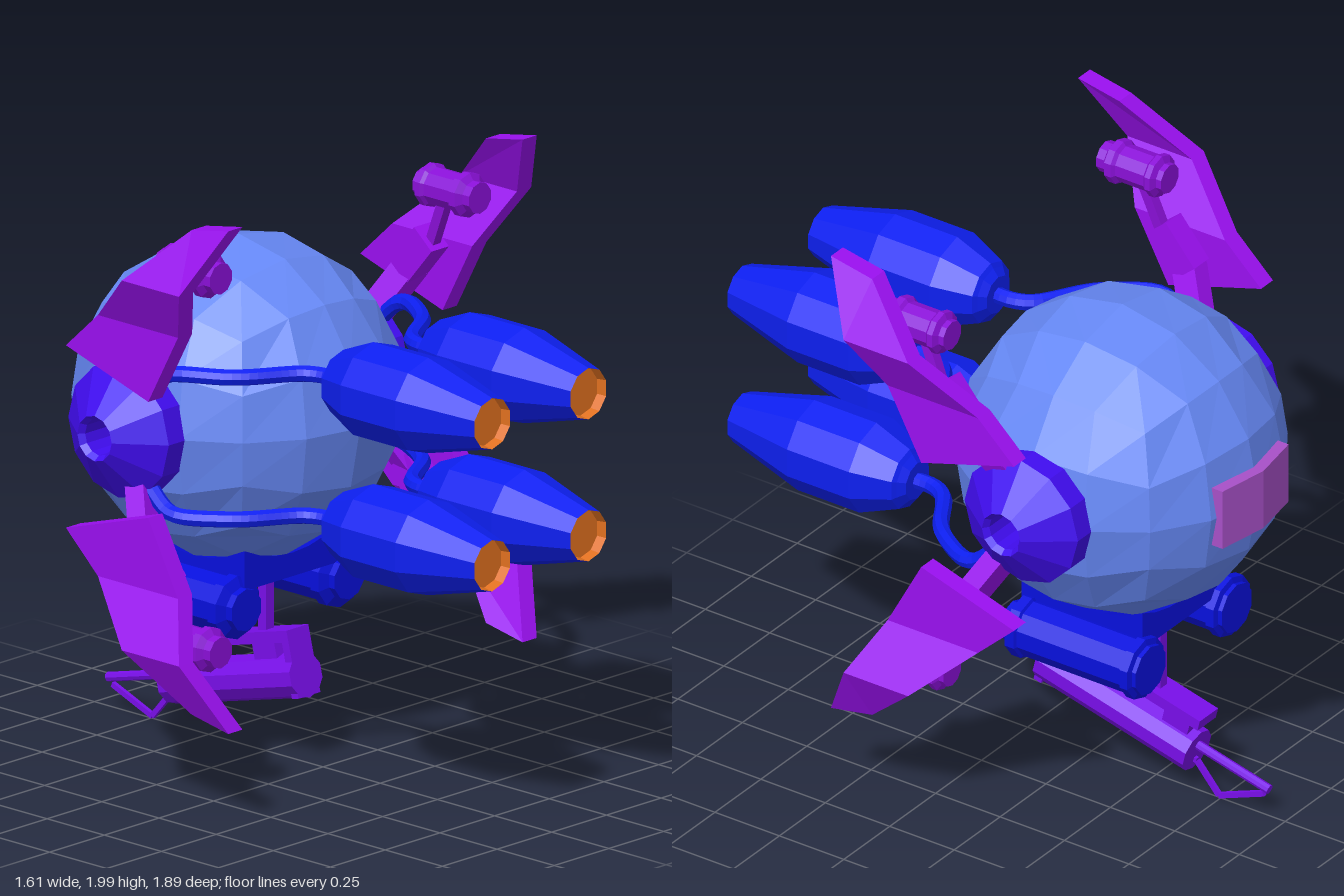
import * as THREE from 'three';

const mat = (color, side = THREE.FrontSide) =>
  new THREE.MeshStandardMaterial({ color, flatShading: true, side });
const V = (x, y, z) => new THREE.Vector3(x, y, z);

const CY = 1.168, CZ = -0.368, R = 0.53; // body centre and radius

export function createModel() {
  const root = new THREE.Group();
  const skyBlue = mat(0x6688f5), blue = mat(0x0d1ff0), navy = mat(0x0810dd), violetBlue = mat(0x400cf0);
  const purple = mat(0x9a10f0), plum = mat(0x8a10d8), gunPurple = mat(0x780ee8);
  const orange = mat(0xe07020, THREE.DoubleSide), pink = mat(0xa850c8);

  const add = (name, geo, material, parent = root) => {
    const mesh = new THREE.Mesh(geo, material);
    mesh.name = name;
    parent.add(mesh);
    return mesh;
  };
  const lathe = (pts, sides) =>
    new THREE.LatheGeometry(pts.map(([r, y]) => new THREE.Vector2(r, y)), sides);
  const latheZ = (pts, sides) => lathe(pts, sides).rotateX(Math.PI / 2);
  const box = (w, h, d, x, y, z) => new THREE.BoxGeometry(w, h, d).translate(x, y, z);
  // bar between two points
  const bar = (name, a, b, w, d, material, parent = root) => {
    const dir = b.clone().sub(a);
    const mesh = add(name, new THREE.BoxGeometry(w, dir.length(), d), material, parent);
    mesh.position.copy(a).add(b).multiplyScalar(0.5);
    mesh.quaternion.setFromUnitVectors(V(0, 1, 0), dir.normalize());
  };

  // Body: cube pushed out to a sphere with even angles
  const body = new THREE.BoxGeometry(2, 2, 2, 4, 4, 4);
  const bp = body.attributes.position;
  for (let i = 0; i < bp.count; i++) {
    const t = (v) => Math.tan((v * Math.PI) / 4);
    const p = V(t(bp.getX(i)), t(bp.getY(i)), t(bp.getZ(i))).setLength(R);
    bp.setXYZ(i, p.x, p.y + CY, p.z + CZ);
  }
  add('body', body, skyBlue);

  // Rear hatch, bent around the body
  const hatch = new THREE.BoxGeometry(0.36, 0.21, 0.045, 2, 1, 1);
  const hp = hatch.attributes.position;
  for (let i = 0; i < hp.count; i++) hp.setZ(i, hp.getZ(i) + Math.abs(hp.getX(i)) * 0.17);
  add('rearHatch', hatch.translate(0, CY, -0.893), pink);

  // Wing cross-sections: inner x, front [y, z], back [y, z]
  const wingSections = [
    [0.64, [1.36, -0.09], [1.47, -0.45]],
    [0.64, [1.6, 0.04], [1.6, -0.31]],
    [0.74, [1.78, 0.14], [1.78, -0.11]],
    [0.64, [2.0, 0.26], [1.97, 0.1]],
  ];
  const wingGeometry = (sx, sy) => {
    const pos = [], idx = [];
    const n = wingSections.length, t = (n - 1) * 4;
    for (const [x, f, b] of wingSections)
      for (const [px, [y, z]] of [[x + 0.065, f], [x + 0.065, b], [x, b], [x, f]])
        pos.push(sx * px, CY + sy * (y - CY), z);
    for (let r = 0; r < n - 1; r++)
      for (let i = 0; i < 4; i++) {
        const a = r * 4 + i, b = r * 4 + ((i + 1) % 4);
        idx.push(a, b, b + 4, a, b + 4, a + 4);
      }
    idx.push(0, 2, 1, 0, 3, 2, t, t + 1, t + 2, t, t + 2, t + 3);
    if (sx * sy < 0) idx.reverse();
    const g = new THREE.BufferGeometry();
    g.setAttribute('position', new THREE.Float32BufferAttribute(pos, 3));
    g.setIndex(idx);
    g.computeVertexNormals();
    return g;
  };

  for (const sx of [1, -1]) {
    const side = sx > 0 ? 'left' : 'right';

    // Side hub with an open centre
    const hub = lathe([[0.07, 0.46], [0.22, 0.47], [0.22, 0.55], [0.075, 0.66], [0.06, 0.64], [0.06, 0.46]], 12);
    add(side + 'Hub', hub.rotateZ((-sx * Math.PI) / 2).translate(0, CY, CZ), violetBlue);

    for (const sy of [1, -1]) {
      const P = (x, y, z) => V(sx * x, CY + sy * (y - CY), z);
      const label = side + (sy > 0 ? 'Upper' : 'Lower');

      // Wing with its arm and small pod
      add(label + 'Wing', wingGeometry(sx, sy), purple);
      bar(label + 'WingArm', P(0.51, 1.29, -0.31), P(0.61, 1.5, -0.19), 0.07, 0.09, purple);
      bar(label + 'WingBracket', P(0.6, 1.48, -0.21), P(0.6, 1.61, -0.1), 0.08, 0.1, purple);
      bar(label + 'PodStalk', P(0.6, 1.58, -0.1), P(0.592, 1.75, -0.03), 0.035, 0.035, plum);
      const pod = add(label + 'WingPod', latheZ([[0, -0.13], [0.05, -0.13], [0.05, -0.11], [0.072, -0.1],
        [0.072, -0.08], [0.062, -0.07], [0.062, 0.04], [0.074, 0.05], [0.074, 0.075], [0.052, 0.09],
        [0.052, 0.12], [0, 0.12]], 10), plum);
      pod.position.copy(P(0.592, 1.787, 0));

      // Front thruster with recessed nozzle
      const at = P(0.22, 1.403, 0);
      add(label + 'Thruster', latheZ([[0, 0.27], [0.065, 0.27], [0.09, 0.29], [0.105, 0.3], [0.158, 0.43],
        [0.158, 0.67], [0.085, 0.95]], 10), blue).position.copy(at);
      add(label + 'Nozzle', latheZ([[0.085, 0.95], [0.08, 0.915], [0, 0.915]], 10), orange).position.copy(at);

      // Bent pipe from thruster to hub
      const path = new THREE.CatmullRomCurve3([
        P(0.22, 1.403, 0.3), P(0.22, 1.403, 0.21), P(0.25, 1.403, 0.15), P(0.4, 1.403, 0.05),
        P(0.45, 1.403, 0), P(0.525, 1.403, -0.13), P(0.53, 1.39, -0.18), P(0.53, 1.32, -0.26),
      ]);
      add(label + 'Pipe', new THREE.TubeGeometry(path, 28, 0.027, 8), blue);
    }

    // Belly tank with end rings
    add(side + 'Tank', latheZ([[0, -0.645], [0.085, -0.645], [0.085, -0.63], [0.105, -0.625], [0.105, -0.595],
      [0.095, -0.59], [0.095, -0.19], [0.105, -0.185], [0.105, -0.15], [0.07, -0.135], [0.07, -0.11],
      [0, -0.11]], 10), navy).position.set(sx * 0.235, 0.56, 0);
  }

  // Saddle under the body, its top following the sphere
  const saddle = new THREE.BoxGeometry(0.44, 0.1, 0.47, 6, 1, 6);
  const sp = saddle.attributes.position;
  for (let i = 0; i < sp.count; i++) {
    const x = sp.getX(i), z = sp.getZ(i);
    sp.setY(i, sp.getY(i) > 0 ? CY - Math.sqrt(R * R - x * x - z * z) : 0.615);
  }
  add('saddle', saddle.translate(0, 0, CZ), navy);

  // Belly gun: hangers, then a tilted group
  for (const z of [-0.25, -0.51])
    add('gunHanger', box(0.036, 0.3, 0.036, 0, 0.49, z), gunPurple);
  const gun = new THREE.Group();
  gun.name = 'bellyGun';
  gun.position.set(0, 0.34, -0.085);
  gun.rotation.x = -0.245;
  root.add(gun);
  add('gunRail', box(0.1, 0.038, 0.61, 0, 0.094, -0.305), gunPurple, gun);
  add('gunFrontPlate', box(0.1, 0.22, 0.03, 0, 0.003, -0.015), gunPurple, gun);
  for (const z of [-0.13, -0.52])
    add('gunRailMount', box(0.07, 0.06, 0.1, 0, 0.05, z), gunPurple, gun);
  add('gunBody', latheZ([[0, -0.6], [0.074, -0.6], [0.074, 0], [0, 0]], 10), gunPurple, gun)
    .position.y = -0.04;
  add('gunBarrel', latheZ([[0, -0.885], [0.016, -0.885], [0.016, -0.55], [0, -0.55]], 8), gunPurple, gun)
    .position.y = -0.018;
  const wire = [V(0, -0.075, -0.58), V(0, -0.075, -0.61), V(0, -0.15, -0.717), V(0, -0.042, -0.87)];
  for (let i = 0; i < 3; i++) bar('gunGuard', wire[i], wire[i + 1], 0.014, 0.018, gunPurple, gun);

  return root;
}
